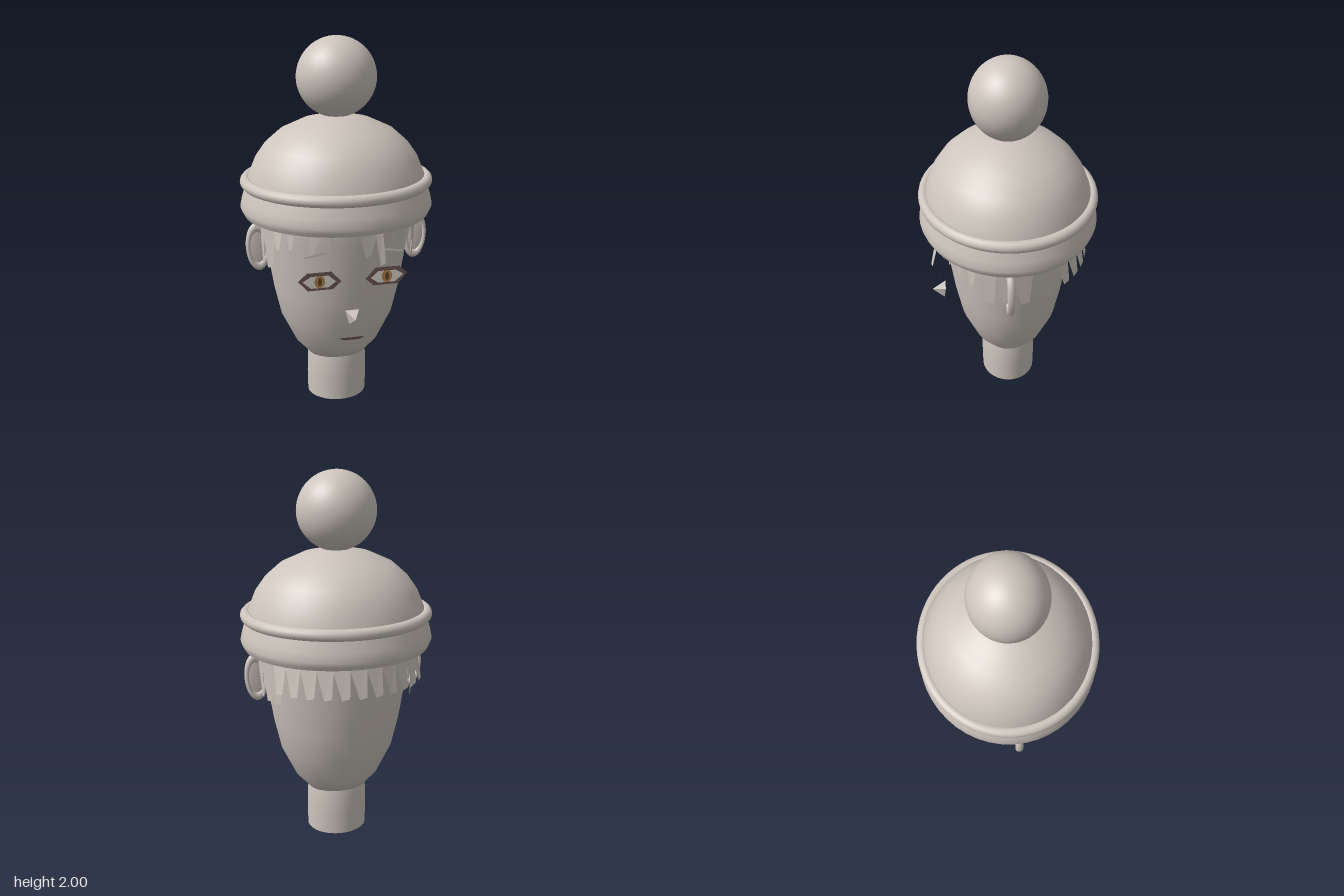
import * as THREE from 'three';

const mat = (name, color, side = THREE.DoubleSide) => {
  const m = new THREE.MeshStandardMaterial({ color, side });
  m.name = name;
  return m;
};

export function createModel() {
  const group = new THREE.Group();
  const pale = mat('pale beige', 0xcdc5bd);
  const lidColor = mat('eyelid brown', 0x6b5450);
  const white = mat('eye white', 0xd8d2cc);
  const amber = mat('iris amber', 0xb08048);
  const dark = mat('pupil brown', 0x5e4428);
  const mouthColor = mat('mouth brown', 0x5a4a46);

  const add = (name, geometry, material = pale, parent = group) => {
    const mesh = new THREE.Mesh(geometry, material);
    mesh.name = name;
    parent.add(mesh);
    return mesh;
  };
  const lathe = (name, points, depth) => {
    const g = new THREE.LatheGeometry(points.map(([r, y]) => new THREE.Vector2(r, y)), 48);
    g.scale(1, 1, depth);
    return add(name, g);
  };
  // Flat outline facing +z
  const plate = (name, points, z, material, parent = group) => {
    const shape = new THREE.Shape(points.map(([x, y]) => new THREE.Vector2(x, y)));
    const mesh = add(name, new THREE.ShapeGeometry(shape), material, parent);
    mesh.position.z = z;
    return mesh;
  };

  // Neck and head
  lathe('neck', [[0.165, 0], [0.167, 0.12], [0.165, 0.22], [0.155, 0.28]], 0.92);
  lathe('head', [[0.0, 0.25], [0.16, 0.255], [0.235, 0.34], [0.312, 0.5], [0.348, 0.66], [0.375, 0.83],
    [0.395, 0.98], [0.41, 1.1], [0.4, 1.25], [0.32, 1.4], [0, 1.5]], 0.86);

  // Knitted hat: dome, rolled bead, turned-up band and bobble
  lathe('hatDome', [[0.485, 1.2], [0.47, 1.285], [0.43, 1.38], [0.38, 1.45], [0.3, 1.52], [0.18, 1.575],
    [0.08, 1.597], [0, 1.6]], 0.915);
  lathe('hatBand', [[0.495, 1.08], [0.506, 1.1], [0.515, 1.125], [0.505, 1.17], [0.486, 1.23]], 0.915);
  const bead = new THREE.TorusGeometry(0.482, 0.031, 12, 64);
  bead.rotateX(Math.PI / 2);
  bead.scale(1, 1, 0.915);
  bead.translate(0, 1.257, 0);
  add('hatBead', bead);
  const bobble = new THREE.SphereGeometry(0.209, 40, 28);
  bobble.scale(1, 0.99, 0.935);
  bobble.translate(0, 1.793, 0);
  add('bobble', bobble);

  // Hair locks: tapering cards hung inside the hat, listed by angle from the front
  const locks = [];
  const lock = (deg, rTop, rTip, yTip, wTop, wTip, lean) => {
    const a = THREE.MathUtils.degToRad(deg);
    const out = new THREE.Vector3(Math.sin(a), 0, Math.cos(a));
    const along = new THREE.Vector3(Math.cos(a), 0, -Math.sin(a));
    const p = (r, s, y) => {
      const v = out.clone().multiplyScalar(r).addScaledVector(along, s);
      return [v.x, y, v.z * 0.9];
    };
    const tl = p(rTop, -wTop / 2, 1.13), tr = p(rTop, wTop / 2, 1.13);
    const bl = p(rTip, lean - wTip / 2, yTip), br = p(rTip, lean + wTip / 2, yTip + 0.01);
    locks.push(...bl, ...br, ...tr, ...bl, ...tr, ...tl);
  };
  for (let deg = 125; deg <= 235; deg += 11) lock(deg, 0.43, 0.47, 0.91, 0.11, 0.04, 0.03);
  for (const s of [1, -1]) {
    for (const deg of [66, 80, 94, 106, 117]) lock(s * deg, 0.43, 0.415, 0.825, 0.14, 0.05, 0.02 * s);
  }
  for (const [deg, rTip, yTip, wTop, wTip, lean] of [
    [-56, 0.45, 0.96, 0.1, 0.02, 0.02], [-44, 0.44, 0.97, 0.06, 0.02, 0],
    [-25, 0.43, 0.95, 0.09, 0.015, -0.03], [-19, 0.41, 0.97, 0.06, 0.015, 0.03],
    [10, 0.44, 0.94, 0.13, 0.03, 0], [17, 0.49, 0.905, 0.05, 0.03, 0],
    [32, 0.43, 0.97, 0.06, 0.015, 0], [43, 0.43, 0.95, 0.07, 0.02, 0],
    [55, 0.44, 0.93, 0.09, 0.02, 0]]) lock(deg, 0.43, rTip, yTip, wTop, wTip, lean);
  const hair = new THREE.BufferGeometry();
  hair.setAttribute('position', new THREE.Float32BufferAttribute(locks, 3));
  hair.computeVertexNormals();
  add('hairLocks', hair);

  // Nose: four-sided pyramid
  const c = [[-0.037, 0.645, 0.355], [0.037, 0.645, 0.355], [0.017, 0.57, 0.365], [-0.017, 0.57, 0.365]];
  const tip = [0, 0.62, 0.43];
  const nose = new THREE.BufferGeometry();
  nose.setAttribute('position', new THREE.Float32BufferAttribute(
    c.flatMap((p, i) => [...c[(i + 1) % 4], ...p, ...tip]), 3));
  nose.computeVertexNormals();
  add('nose', nose);

  plate('mouth', [[-0.07, 0.491], [-0.04, 0.477], [0.04, 0.477], [0.07, 0.491]], 0.36, mouthColor);

  // Eyes, brows and ears on both sides
  for (const s of [1, -1]) {
    const name = s > 0 ? 'left' : 'right';
    const eye = new THREE.Group();
    eye.name = name + 'Eye';
    eye.position.set(0.175 * s, 0.83, 0.38);
    group.add(eye);
    const outline = (pts) => (s > 0 ? pts : pts.map(([x, y]) => [-x, y]).reverse());
    plate('eyelid', outline([[-0.112, -0.008], [-0.068, -0.047], [0.062, -0.047], [0.11, 0.008], [0.065, 0.049],
      [-0.06, 0.049]]), 0, lidColor, eye);
    plate('eyeWhite', outline([[-0.085, -0.005], [-0.045, -0.034], [0.045, -0.034], [0.088, 0.004], [0.045, 0.03],
      [-0.045, 0.03]]), 0.002, white, eye);
    const disc = (label, rx, ry, z, m) => {
      const mesh = add(label, new THREE.CircleGeometry(1, 20).scale(rx, ry, 1), m, eye);
      mesh.position.z = z;
    };
    disc('iris', 0.027, 0.034, 0.004, amber);
    disc('pupil', 0.01, 0.022, 0.006, dark);

    plate(name + 'Brow', outline([[0.145, 0.972], [0.25, 0.957], [0.262, 0.963], [0.15, 0.986]]), 0.38, pale);

    // Ear: shallow dish with a rounded rim
    const ear = new THREE.Group();
    ear.name = name + 'Ear';
    ear.position.set(0.437 * s, 0.915, 0.035);
    ear.rotation.z = -0.06 * s;
    group.add(ear);
    add('earDish', new THREE.SphereGeometry(1, 24, 16).scale(0.058, 0.125, 0.014), pale, ear);
    add('earRim', new THREE.TorusGeometry(0.8, 0.2, 10, 32).scale(0.064, 0.135, 0.1), pale, ear);
  }
  return group;
}
